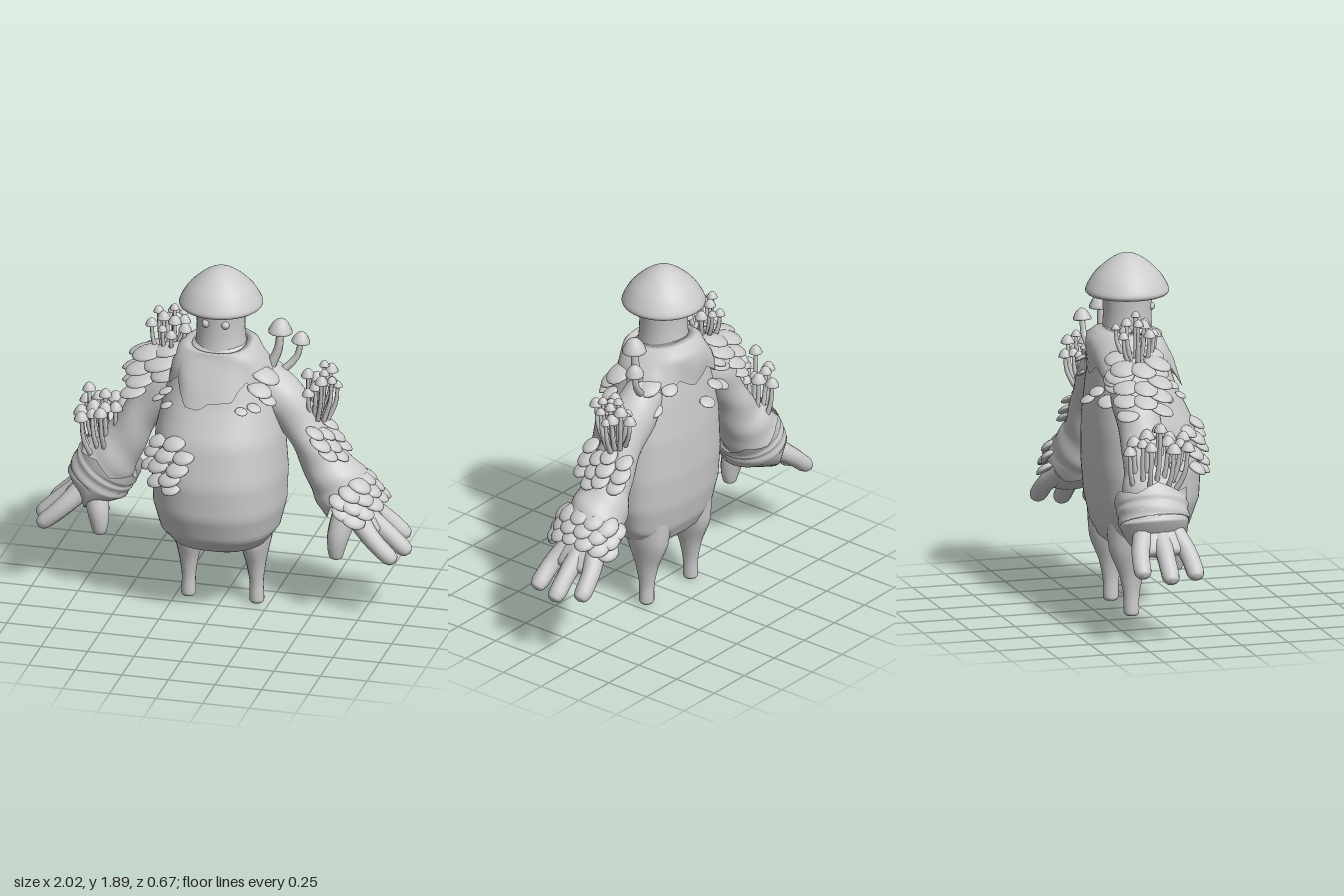
import * as THREE from 'three';

const grey = new THREE.MeshStandardMaterial({ color: 0xcccccc, side: THREE.DoubleSide });
const V = (x, y, z) => new THREE.Vector3(x, y, z);
const UP = V(0, 1, 0);
const tri = u => Math.abs((((u % 1) + 1) % 1) * 2 - 1);

let seed = 7;
const rand = () => (seed = (seed * 16807) % 2147483647) / 2147483647;

function add(parent, name, geometry) {
  const mesh = new THREE.Mesh(geometry, grey);
  mesh.name = name;
  parent.add(mesh);
  return mesh;
}

function group(parent, name) {
  const g = new THREE.Group();
  g.name = name;
  parent.add(g);
  return g;
}

// Skin over closed rings of equal length
function loft(rings) {
  const n = rings[0].length, index = [];
  for (let i = 0; i < rings.length - 1; i++)
    for (let j = 0; j < n; j++) {
      const k = (j + 1) % n, a = i * n, b = a + n;
      index.push(a + j, a + k, b + j, a + k, b + k, b + j);
    }
  const geometry = new THREE.BufferGeometry().setFromPoints(rings.flat());
  geometry.setIndex(index);
  geometry.computeVertexNormals();
  return geometry;
}

// Tapered limb: rows of [x, y, z, radius, radius along z]; jag cuts points into the end
function sweep(rows, { steps = 18, n = 16, jag = 0, wrinkle = 0 } = {}) {
  const path = new THREE.CatmullRomCurve3(rows.map(r => V(r[0], r[1], r[2])));
  const size = new THREE.CatmullRomCurve3(rows.map(r => V(r[3], r[4] ?? r[3], 0)));
  const rings = [];
  for (let i = 0; i <= steps; i++) {
    const u = i / steps, p = path.getPoint(u), t = path.getTangent(u), s = size.getPoint(u);
    const b = V(0, 0, 1).addScaledVector(t, -t.z).normalize();
    const m = b.clone().cross(t);
    rings.push(Array.from({ length: n }, (_, j) => {
      const a = j / n * Math.PI * 2, f = 1 + wrinkle * Math.sin(u * 24 + 2 * a);
      return p.clone().addScaledVector(m, Math.cos(a) * f * Math.max(s.x, 0.001))
        .addScaledVector(b, Math.sin(a) * f * Math.max(s.y, 0.001))
        .addScaledVector(t, i === steps ? jag * tri(j / n * 5) : 0);
    }));
  }
  return loft(rings);
}

// Turned shape from a smooth profile
const turned = (pts, n, k) =>
  new THREE.LatheGeometry(new THREE.SplineCurve(pts.map(p => new THREE.Vector2(p[0], p[1]))).getPoints(k)
    .map(p => new THREE.Vector2(Math.max(p.x, 0), p.y)), n);

// Body rows: height, half width, front z, back z
const bodyRows = [
  [0.325, 0.02, -0.06, -0.1], [0.335, 0.17, 0.07, -0.14], [0.38, 0.25, 0.17, -0.2], [0.46, 0.31, 0.25, -0.24],
  [0.6, 0.345, 0.3, -0.27], [0.78, 0.352, 0.31, -0.285], [1.0, 0.335, 0.27, -0.285], [1.2, 0.29, 0.175, -0.27],
  [1.35, 0.24, 0.125, -0.255], [1.46, 0.16, 0.07, -0.22], [1.5, 0.1, 0.04, -0.18]];

// Point on the body at angle a (0 is the front) and height y
function bodyPoint(a, y, grow = 0) {
  let i = 0;
  while (i < bodyRows.length - 2 && y > bodyRows[i + 1][0]) i++;
  const p = bodyRows[i], q = bodyRows[i + 1], f = (y - p[0]) / (q[0] - p[0]);
  const [hw, zf, zb] = [1, 2, 3].map(k => p[k] + (q[k] - p[k]) * f);
  const s = Math.sin(a), c = Math.cos(a), e = 2 / 2.35, zc = -0.08;
  const depth = (c > 0 ? zf - zc : zc - zb) + grow;
  return V(Math.sign(s) * Math.abs(s) ** e * (hw + grow), y, zc + Math.sign(c) * Math.abs(c) ** e * depth);
}
const bodyRing = (n, y, grow = () => 0) => Array.from({ length: n }, (_, j) => {
  const a = j / n * Math.PI * 2;
  return bodyPoint(a, typeof y === 'function' ? y(a) : y, grow(a));
});

const shelfGeometry = turned([[0, -0.2], [0.65, -0.16], [0.98, -0.02], [0.85, 0.18], [0.5, 0.34], [0, 0.42]], 14, 10);
const bellGeometry = turned([[0, 0], [0.6, -0.08], [0.98, -0.1], [0.9, 0.2], [0.5, 0.75], [0, 1]], 12, 12);

// Bracket mushroom leaning along a direction
function shelf(parent, p, r, lean, flat = 1) {
  const m = add(parent, 'bracketMushroom', shelfGeometry);
  m.position.copy(p);
  m.quaternion.setFromUnitVectors(UP, lean.clone().normalize());
  m.scale.set(r, r * flat, r * 0.85);
}

// Stalked mushroom from base to tip
function stalk(parent, base, tip, capR, stemR) {
  const mid = base.clone().lerp(tip, 0.5).add(V((tip.x - base.x) * 0.3, 0, (tip.z - base.z) * 0.3));
  add(parent, 'mushroomStem', sweep([[...base, stemR * 1.2], [...mid, stemR], [...tip, stemR * 0.8]], { steps: 6, n: 7 }));
  const cap = add(parent, 'mushroomCap', bellGeometry);
  cap.position.copy(tip);
  cap.quaternion.setFromUnitVectors(UP, tip.clone().sub(mid).normalize().add(UP).normalize());
  cap.scale.set(capR, capR * 1.15, capR);
}

// Bunch of stalks: base centre, tip centre, tip spread in x and z, tip heights
function bunch(parent, name, base, tip, [sx, sz], [low, high], count, capR, stemR) {
  const g = group(parent, name);
  for (let i = 0; i < count; i++) {
    const a = i * 2.4, f = Math.sqrt((i + 0.5) / count), dx = Math.cos(a) * f * sx, dz = Math.sin(a) * f * sz;
    stalk(g, V(base.x + dx * 0.6, base.y - Math.sign(base.x) * dx * 0.4, base.z + dz * 0.6),
      V(tip.x + dx, low + (high - low) * (1 - f * 0.5) * (0.45 + rand() * 0.75), tip.z + dz),
      capR * (0.75 + rand() * 0.4), stemR);
  }
}

function arm(parent, s) {
  const g = group(parent, s > 0 ? 'leftArm' : 'rightArm');
  const limb = (name, rows, opts) => add(g, name, sweep(rows.map(([x, ...r]) => [x * s, ...r]), opts));
  limb('sleeve', [[0.16, 1.29, -0.11, 0.1, 0.1], [0.31, 1.17, -0.12, 0.125, 0.12], [0.44, 1.0, -0.12, 0.1, 0.115],
    [0.53, 0.84, -0.12, 0.115, 0.125], [0.6, 0.74, -0.125, 0.145, 0.15], [0.655, 0.665, -0.125, 0.16, 0.165]],
    { steps: 28, n: 30, jag: 0.05, wrinkle: 0.025 });
  // Turned-up cuff on the right arm
  if (s < 0) limb('cuff', [[0.66, 0.63, -0.125, 0.15, 0.165], [0.67, 0.6, -0.125, 0.17, 0.185],
    [0.64, 0.66, -0.125, 0.172, 0.188], [0.61, 0.71, -0.125, 0.175, 0.19]], { n: 30, jag: 0.045, wrinkle: 0.02 });
  limb('palm', [[0.58, 0.74, -0.12, 0.08, 0.1], [0.69, 0.6, -0.12, 0.08, 0.11], [0.77, 0.53, -0.12, 0.06, 0.13],
    [0.83, 0.475, -0.12, 0.035, 0.11], [0.84, 0.465, -0.12, 0.001]]);
  [[0.02, 0.96, 0.36], [-0.125, 1, 0.355], [-0.265, 0.96, 0.385]].forEach(([z, x, y]) =>
    limb('finger', [[0.72, 0.58, -0.12 + (z + 0.12) * 0.5, 0.06], [x - 0.13, y + 0.11, z * 0.9 - 0.01, 0.048],
      [x - 0.04, y + 0.03, z, 0.043, 0.047], [x - 0.01, y + 0.008, z, 0.03, 0.034], [x, y, z, 0.001]], { n: 12 }));
  limb('thumb', [[0.68, 0.61, -0.06, 0.07], [0.645, 0.47, -0.01, 0.06], [0.635, 0.39, 0, 0.046],
    [0.635, 0.345, 0, 0.033], [0.635, 0.33, 0, 0.001]], { n: 12 });
}

export function createModel() {
  const model = new THREE.Group();
  model.name = 'mushroomCreature';

  // Pear-shaped body
  const heights = new THREE.CatmullRomCurve3(bodyRows.map(r => V(r[0], 0, 0))).getPoints(50).map(p => p.x);
  add(model, 'body', loft(heights.map(y => bodyRing(56, y))));

  // Legs and arms
  for (const s of [1, -1]) {
    add(model, 'leg', sweep([[0.17 * s, 0.5, -0.1, 0.11, 0.13], [0.175 * s, 0.36, -0.1, 0.085, 0.12],
      [0.18 * s, 0.22, -0.1, 0.05, 0.065], [0.182 * s, 0.1, -0.1, 0.036, 0.042], [0.183 * s, 0.02, -0.1, 0.039, 0.041],
      [0.183 * s, 0.003, -0.1, 0.03], [0.183 * s, 0, -0.1, 0.001]], { steps: 24 }));
    arm(model, s);
  }

  // Head with eyes, and its cap
  const head = group(model, 'head');
  head.position.z = -0.067;
  add(head, 'face', turned([[0.145, 1.4], [0.13, 1.5], [0.127, 1.6], [0.135, 1.72]], 32, 10));
  for (const s of [1, -1]) {
    const eye = add(head, 'eye', new THREE.SphereGeometry(0.022, 14, 10));
    eye.position.set(0.052 * s, 1.61, 0.112);
  }
  add(head, 'headCap', turned([[0, 1.72], [0.12, 1.705], [0.185, 1.675], [0.215, 1.685], [0.213, 1.715],
    [0.17, 1.785], [0.1, 1.85], [0.04, 1.884], [0, 1.89]], 40, 40));

  // Ragged scarf with a long point at the front
  const edge = a => {
    const d = Math.abs(Math.atan2(Math.sin(a + 0.1), Math.cos(a + 0.1)));
    return 1.26 + 0.06 * tri(a * 9 / (2 * Math.PI)) - 0.12 * Math.max(0, 1 - d / 0.6);
  };
  const fold = k => a => k + 0.009 * Math.sin(3 * a + k * 120);
  const level = f => a => edge(a) + (1.42 - edge(a)) * f;
  add(model, 'scarf', loft([
    bodyRing(90, edge, fold(0.018)), bodyRing(90, level(0.3), fold(0.022)), bodyRing(90, level(0.65), fold(0.03)),
    bodyRing(90, level(1), fold(0.038)), bodyRing(90, 1.46, fold(0.045)),
    bodyRing(90, a => 1.483 - 0.015 * Math.cos(a), () => 0.045), bodyRing(90, a => 1.49 - 0.025 * Math.cos(a), () => 0.02),
    bodyRing(90, 1.44, () => -0.02)]));

  // Brackets on the belly
  const belly = group(model, 'bellyMushrooms');
  [[-0.17, 1.0, 0.065], [-0.27, 0.98, 0.06], [-0.11, 0.94, 0.06], [-0.21, 0.93, 0.07], [-0.3, 0.91, 0.06], [-0.14, 0.87, 0.065],
    [-0.25, 0.86, 0.07], [-0.32, 0.82, 0.06], [-0.18, 0.81, 0.065], [-0.25, 0.78, 0.065], [-0.17, 0.76, 0.055]]
    .forEach(([x, y, r]) => {
      const p = bodyPoint(Math.asin(Math.min(1, Math.abs(x / 0.35)) ** 1.175) * Math.sign(x), y, 0.01);
      shelf(belly, p, r, V(p.x * 0.8, 0.3, p.z + 0.1).normalize().add(V(0, 0.7, 0)));
    });

  // Brackets on the right shoulder, front and back
  const shoulder = group(model, 'rightShoulderMushrooms');
  [[-0.27, 1.41, 0.085], [-0.38, 1.38, 0.09], [-0.31, 1.33, 0.1], [-0.42, 1.29, 0.085], [-0.28, 1.27, 0.09],
    [-0.42, 1.22, 0.085], [-0.46, 1.15, 0.075]].forEach(([x, y, r], i) => {
    shelf(shoulder, V(x, y, -0.02), r, V(-0.25, 1, 0.25), 0.75);
    shelf(shoulder, V(x + 0.01, y - 0.02, -0.2), r * 0.95, V(-0.25, 1, -0.25), 0.75);
    if (i % 2) shelf(shoulder, V(x - 0.05, y - 0.02, -0.11), r * 0.9, V(-0.35, 1, 0), 0.75);
  });

  // Small brackets round the chest and back
  const chest = group(model, 'chestMushrooms');
  [[0.75, 1.2, 0.04], [0.95, 1.28, 0.07], [1.2, 1.34, 0.085], [0.5, 1.19, 0.035], [1.1, 1.22, 0.05], [-0.75, 1.17, 0.035],
    [-0.9, 1.23, 0.04], [-1.15, 1.17, 0.04], [2.2, 1.2, 0.05], [2.5, 1.3, 0.05], [3.3, 1.14, 0.05], [3.6, 1.2, 0.05],
    [3.9, 1.16, 0.06], [4.1, 1.28, 0.07], [2.0, 1.32, 0.07]]
    .forEach(([a, y, r]) => shelf(chest, bodyPoint(a, y, 0.03), r, V(Math.sin(a) * 0.5, 1, Math.cos(a) * 0.5), 0.8));

  // Brackets on the left elbow and cuff
  const leftArm = group(model, 'leftArmMushrooms');
  [[0.56, 1.03, 0.065], [0.59, 0.97, 0.075], [0.63, 0.92, 0.07]].forEach(([x, y, r]) =>
    [0, -0.08, -0.15, -0.22].forEach((z, i) =>
      shelf(leftArm, V(x - 0.04 * (i % 3 === 0), y - 0.03 * (i % 2), z), r * 0.85, V(0.55, 1, z * 1.5 + 0.15), 0.9)));
  for (let row = 0; row < 3; row++)
    for (let i = 0; i < 7; i++) {
      const a = -1.5 + i * 0.5 + (row % 2) * 0.2, c = Math.cos(a);
      shelf(leftArm, V(0.66 + row * 0.035 + c * 0.1, 0.67 - row * 0.045 + c * 0.085, -0.12 + Math.sin(a) * 0.165),
        0.06 + 0.012 * rand(), V(0.5, 1, Math.sin(a) * 0.5));
    }

  // Stalked bunches
  bunch(model, 'rightShoulderStalks', V(-0.28, 1.38, -0.1), V(-0.28, 0, -0.1), [0.11, 0.12], [1.44, 1.62], 12, 0.032, 0.012);
  bunch(model, 'rightForearmStalks', V(-0.63, 0.76, -0.12), V(-0.65, 0, -0.09), [0.13, 0.17], [0.9, 1.14], 16, 0.038, 0.013);
  bunch(model, 'leftArmStalks', V(0.5, 1.08, -0.14), V(0.52, 0, -0.14), [0.09, 0.11], [1.18, 1.36], 16, 0.034, 0.012);

  // Two large mushrooms on the left shoulder
  const tall = group(model, 'leftShoulderStalks');
  stalk(tall, V(0.25, 1.33, -0.11), V(0.305, 1.54, -0.115), 0.065, 0.024);
  stalk(tall, V(0.3, 1.29, -0.16), V(0.395, 1.46, -0.19), 0.05, 0.018);
  return model;
}
